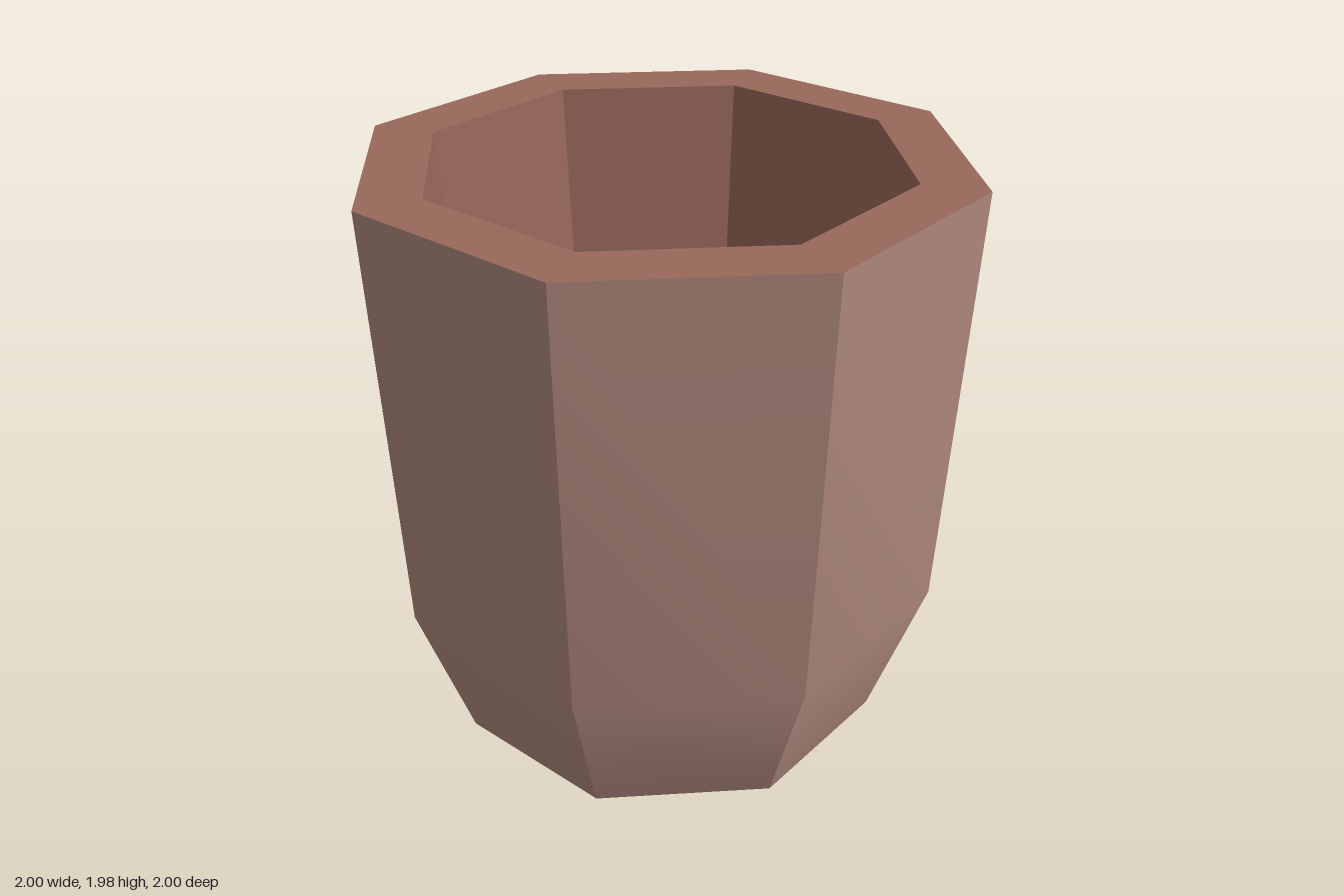
import * as THREE from 'three';
import { mergeGeometries } from 'three/addons/utils/BufferGeometryUtils.js';

const SIDES = 8;
const TOP = 1.975;
const FLOOR = 0.2;

// One lathe panel per side: smooth up the profile, sharp at the vertical edges.
function panelledWall(profile) {
  const points = profile.map(([r, y]) => new THREE.Vector2(r, y));
  const step = (Math.PI * 2) / SIDES;
  const panels = [];
  for (let i = 0; i < SIDES; i++) {
    const panel = new THREE.LatheGeometry(points, 1, i * step, step);
    panel.computeVertexNormals();
    panels.push(panel);
  }
  return mergeGeometries(panels);
}

export function createModel() {
  const outerClay = new THREE.MeshStandardMaterial({ color: 0xb0897e });
  outerClay.name = 'outerClay';
  const innerClay = new THREE.MeshStandardMaterial({ color: 0x99685b });
  innerClay.name = 'innerClay';

  const cup = new THREE.Group();
  cup.name = 'octagonalCup';
  const add = (name, geometry, material, y = 0) => {
    const mesh = new THREE.Mesh(geometry, material);
    mesh.name = name;
    mesh.position.y = y;
    cup.add(mesh);
  };

  // Outside: tapered foot, then nearly straight sides
  add('outerWall', panelledWall([[0.76, 0], [0.94, 0.53], [1, TOP]]), outerClay);
  add('base', new THREE.CircleGeometry(0.76, SIDES).rotateX(Math.PI / 2), outerClay);

  // Rim and hollow inside
  add('rim', new THREE.RingGeometry(0.79, 1, SIDES, 1).rotateX(-Math.PI / 2), innerClay, TOP);
  add('innerWall', panelledWall([[0.79, TOP], [0.64, FLOOR]]), innerClay);
  add('innerFloor', new THREE.CircleGeometry(0.64, SIDES).rotateX(-Math.PI / 2), innerClay, FLOOR);

  return cup;
}
